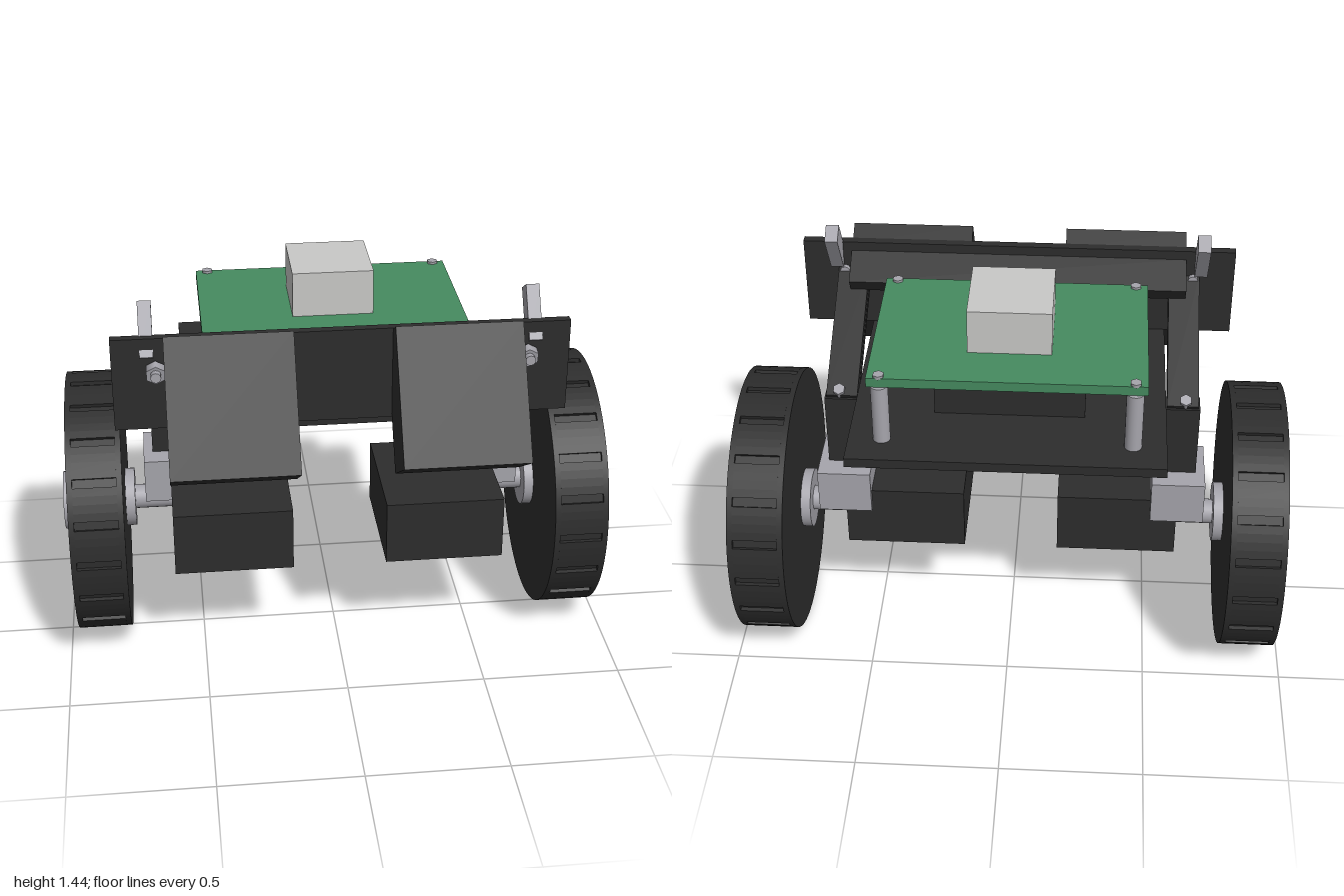
import * as THREE from 'three';

const mat = (name, color) => {
  const m = new THREE.MeshStandardMaterial({ color });
  m.name = name;
  return m;
};

export function createModel() {
  const root = new THREE.Group();
  root.name = 'twoWheeledRobot';
  const black = mat('blackPlastic', 0x2d2d2d);
  const metal = mat('greyMetal', 0xa6a5ac);
  const green = mat('greenBoard', 0x468b60);
  const pale = mat('paleGrey', 0xc9c9c7);

  const add = (name, geo, material) => {
    const m = new THREE.Mesh(geo, material);
    m.name = name;
    root.add(m);
    return m;
  };
  // Box given by its lower and upper bounds
  const box = (name, material, x0, x1, y0, y1, z0, z1) => {
    const g = new THREE.BoxGeometry(x1 - x0, y1 - y0, z1 - z0);
    g.translate((x0 + x1) / 2, (y0 + y1) / 2, (z0 + z1) / 2);
    return add(name, g, material);
  };
  const sided = (s, a, b) => (s > 0 ? [a, b] : [-b, -a]);
  // Side outline in (z, y), extruded from x0 to x1
  const slab = (shape, x0, x1) => {
    const g = new THREE.ExtrudeGeometry(shape, { depth: x1 - x0, bevelEnabled: false });
    g.rotateY(-Math.PI / 2);
    return g.translate(x1, 0, 0);
  };
  const poly = pts => new THREE.Shape(pts.map(p => new THREE.Vector2(p[0], p[1])));
  const xRod = (r, x0, x1, y, z, n = 40) =>
    new THREE.CylinderGeometry(r, r, x1 - x0, n).rotateZ(Math.PI / 2).translate((x0 + x1) / 2, y, z);
  // Bar between two (z, y) points
  const bar = (name, material, x0, x1, a, b, t) => {
    const dz = b[0] - a[0], dy = b[1] - a[1], l = Math.hypot(dz, dy);
    const nz = (-dy / l) * t / 2, ny = (dz / l) * t / 2;
    return add(name, slab(poly([
      [a[0] + nz, a[1] + ny], [a[0] - nz, a[1] - ny],
      [b[0] - nz, b[1] - ny], [b[0] + nz, b[1] + ny],
    ]), x0, x1), material);
  };

  const Y = 0.482, Z = -0.14, R = 0.482;

  // Tyre tread outline with 20 shallow slots
  const tread = [];
  const slots = 20;
  for (let i = 0; i < slots; i++) {
    const c = (i / slots) * Math.PI * 2, h = 0.033;
    const put = (a, r) => tread.push([Z + Math.cos(c + a) * r, Y + Math.sin(c + a) * r]);
    put(-h, R); put(-h, R - 0.014); put(h, R - 0.014); put(h, R);
    for (let k = 1; k < 4; k++) put(h + (k / 4) * (Math.PI * 2 / slots - 2 * h), R);
  }
  const treadShape = poly(tread);

  for (const s of [1, -1]) {
    const X = (a, b) => sided(s, a, b);
    // Wheel
    add('tyreTread', slab(treadShape, ...X(0.79, 0.945)), black);
    for (const [a, b] of [[0.77, 0.79], [0.945, 0.965]])
      add('tyreRim', xRod(R, ...X(a, b), Y, Z, 80), black);
    add('wheelHub', xRod(0.108, ...X(0.735, 1), Y, Z), metal);
    add('axle', xRod(0.045, ...X(0.58, 0.74), Y, Z, 24), metal);

    // Motor and its mount
    box('motor', black, ...X(0.17, 0.6), 0.365, 0.603, -0.24, 0.24);
    box('motorBracket', metal, ...X(0.505, 0.695), 0.525, 0.69, -0.26, -0.02);
    box('motorPost', black, ...X(0.53, 0.662), 0.6, 0.965, -0.18, -0.1);

    // Sloping strut between post and front panel
    bar('strutUpper', black, ...X(0.545, 0.655), [0.29, 1.222], [-0.17, 0.965], 0.032);
    bar('strutLower', black, ...X(0.545, 0.655), [0.29, 1.178], [-0.1, 0.965], 0.026);
    const lowBolt = add('strutBolt', new THREE.CylinderGeometry(0.022, 0.022, 0.05, 6), metal);
    lowBolt.position.set(s * 0.61, 0.978, -0.155);
    lowBolt.rotation.x = -0.5;

    // Panel bolt with nut
    const bolt = add('panelBolt', new THREE.CylinderGeometry(0.018, 0.018, 0.12, 12).rotateX(Math.PI / 2), metal);
    bolt.position.set(s * 0.632, 1.222, 0.32);
    const nut = add('panelNut', new THREE.CylinderGeometry(0.036, 0.036, 0.035, 6).rotateX(Math.PI / 2), metal);
    nut.position.set(s * 0.632, 1.222, 0.335);
    nut.rotation.x = 0.2;

    // Tilted metal tab behind the panel
    bar('panelTab', metal, ...X(0.637, 0.683), [0.193, 1.418], [0.295, 1.255], 0.068);

    // Tilted front sensor
    add('frontSensor', slab(poly([
      [0.365, 1.365], [0.295, 1.321], [0.295, 1.035], [0.42, 0.835], [0.62, 0.96],
    ]), ...X(0.17, 0.603)), black);
  }

  // Front panel and the tilted rail behind it
  box('frontPanel', black, -0.78, 0.78, 1.0, 1.335, 0.278, 0.31);
  bar('sensorRail', black, -0.605, 0.605, [0.182, 1.21], [0.29, 1.277], 0.062);

  // Chassis, battery and circuit board
  box('chassisPlate', black, -0.54, 0.54, 0.965, 1.0, -0.567, 0.28);
  box('battery', black, -0.26, 0.26, 1.0, 1.13, -0.29, 0);
  box('circuitBoard', green, -0.467, 0.467, 1.22, 1.255, -0.46, 0.17);

  // Standoffs with screws above and below
  for (const x of [-0.425, 0.425])
    for (const z of [-0.445, 0.155]) {
      add('standoff', new THREE.CylinderGeometry(0.03, 0.03, 0.22, 20).translate(x, 1.11, z), metal);
      add('boardScrew', new THREE.CylinderGeometry(0.02, 0.02, 0.012, 6).translate(x, 1.258, z), metal);
      add('chassisScrew', new THREE.CylinderGeometry(0.014, 0.014, 0.006, 12).translate(x, 0.964, z), metal);
    }

  // Control module with a port recess on its left side
  box('controlModule', pale, -0.143, 0.1, 1.255, 1.417, -0.29, 0);
  const face = poly([[-0.29, 1.255], [0, 1.255], [0, 1.417], [-0.29, 1.417]]);
  face.holes.push(new THREE.Path([[-0.195, 1.265], [-0.195, 1.315], [-0.095, 1.315], [-0.095, 1.265]]
    .map(p => new THREE.Vector2(...p))));
  add('controlModulePort', slab(face, 0.1, 0.143), pale);

  return root;
}
